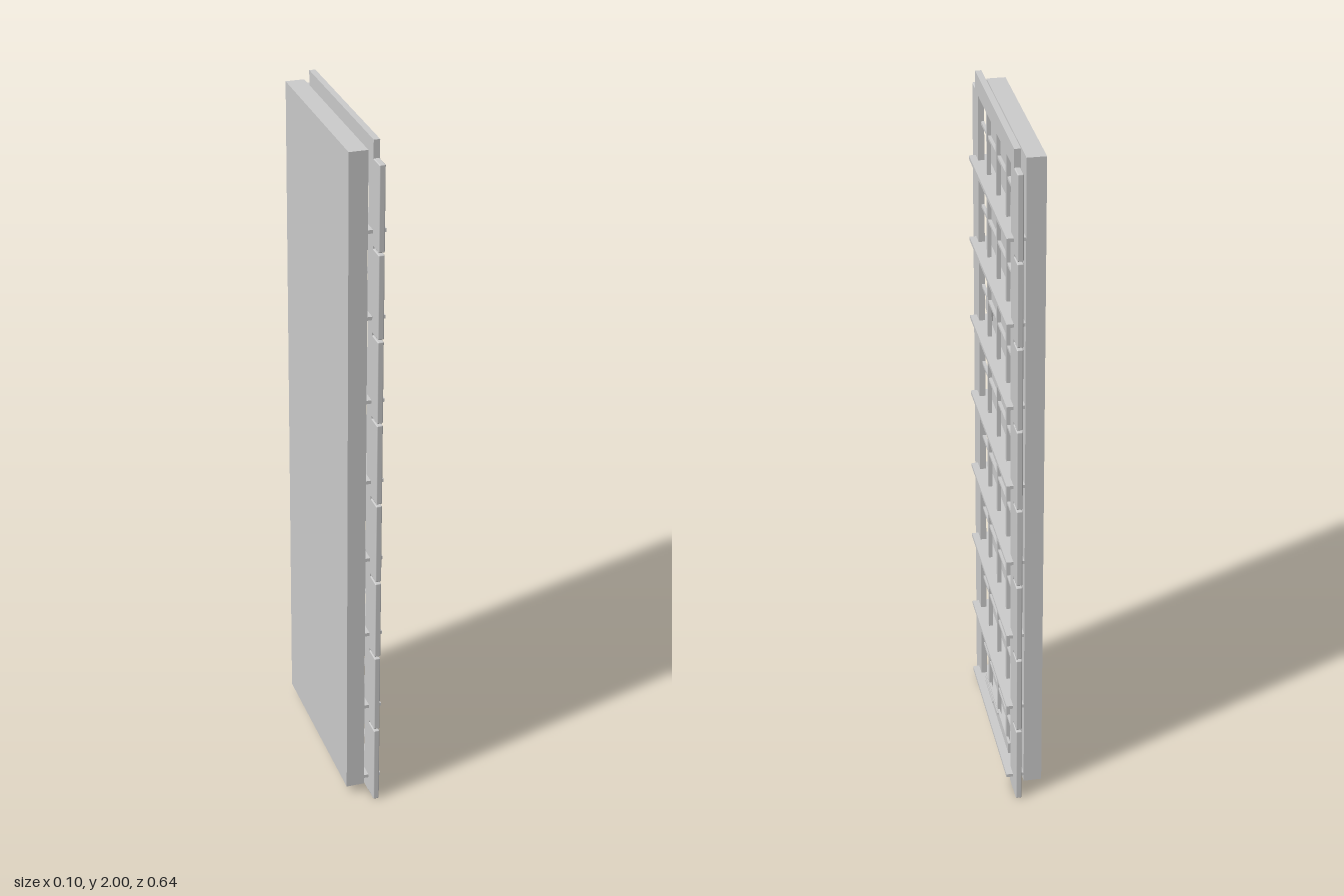
import * as THREE from 'three';
import { RoundedBoxGeometry } from 'three/addons/geometries/RoundedBoxGeometry.js';

const FLOORS = 8;
const PITCH = 0.2445;

export function createModel() {
  const model = new THREE.Group();
  model.name = 'facadePanel';
  const material = new THREE.MeshStandardMaterial({ color: 0xcccccc });

  // Box given by its limits along each axis; a radius rounds its edges
  function box(name, [x0, x1], [y0, y1], [z0, z1], radius = 0) {
    const size = [x1 - x0, y1 - y0, z1 - z0];
    const geometry = radius
      ? new RoundedBoxGeometry(...size, 2, radius)
      : new THREE.BoxGeometry(...size);
    const mesh = new THREE.Mesh(geometry, material);
    mesh.name = name;
    mesh.position.set((x0 + x1) / 2, (y0 + y1) / 2, (z0 + z1) / 2);
    model.add(mesh);
    return mesh;
  }

  // Solid block behind the frame
  box('backBlock', [-0.052, 0], [0.027, 1.975], [-0.277, 0.273]);

  // Frame: head beam, inner posts and one outer panel per floor
  const depth = [0.014, 0.031];
  box('headBeam', depth, [1.945, 2], [-0.275, 0.272]);
  for (const side of [-1, 1]) {
    const span = (a, b) => (side > 0 ? [a, b] : [-b, -a]);
    box('innerPost', depth, [0, 1.945], span(0.233, 0.272));
    for (let i = 0; i < FLOORS; i++) {
      const y = i * PITCH;
      box('sidePanel', depth, [y, y + PITCH - 0.006], span(0.262, 0.319), 0.003);
    }
  }

  // Window bars
  for (const z of [-0.137, 0, 0.137]) {
    box('verticalBar', [0.014, 0.025], [0.03, 1.945], [z - 0.006, z + 0.006]);
  }
  for (let i = 0; i < FLOORS; i++) {
    const y = 0.165 + i * 0.243;
    box('middleBar', [0.014, 0.023], [y - 0.004, y + 0.004], [-0.235, 0.235]);
    if (i < FLOORS - 1) {
      const low = 0.27 + i * 0.2443;
      box('floorBar', [0.014, 0.023], [low - 0.004, low + 0.004], [-0.235, 0.235]);
    }
  }

  // Ledges crossing the frame at every floor
  for (let i = 0; i < FLOORS; i++) {
    const y = 0.05 + i * 0.2432;
    box('ledge', [0, 0.05], [y - 0.005, y + 0.005], [-0.274, 0.272]);
  }

  // Small tilted plates in the windows
  for (const [y, z, tilt] of [[1.325, 0.203, -0.2], [0.222, -0.068, -0.2]]) {
    const plate = box('windowPlate', [0.002, 0.012], [y - 0.024, y + 0.024], [z - 0.032, z + 0.032]);
    plate.rotation.x = tilt;
  }

  // Board at the foot with thin slats
  box('footBoard', [0.019, 0.026], [0.01, 0.09], [-0.176, 0.18]);
  for (const [y, z0, z1] of [[0.083, -0.02, 0.176], [0.068, 0.06, 0.176],
    [0.036, -0.16, 0.176], [0.024, -0.16, 0.176], [0.014, 0.02, 0.176]]) {
    box('footSlat', [0.025, 0.029], [y - 0.003, y + 0.003], [z0, z1]);
  }

  return model;
}
